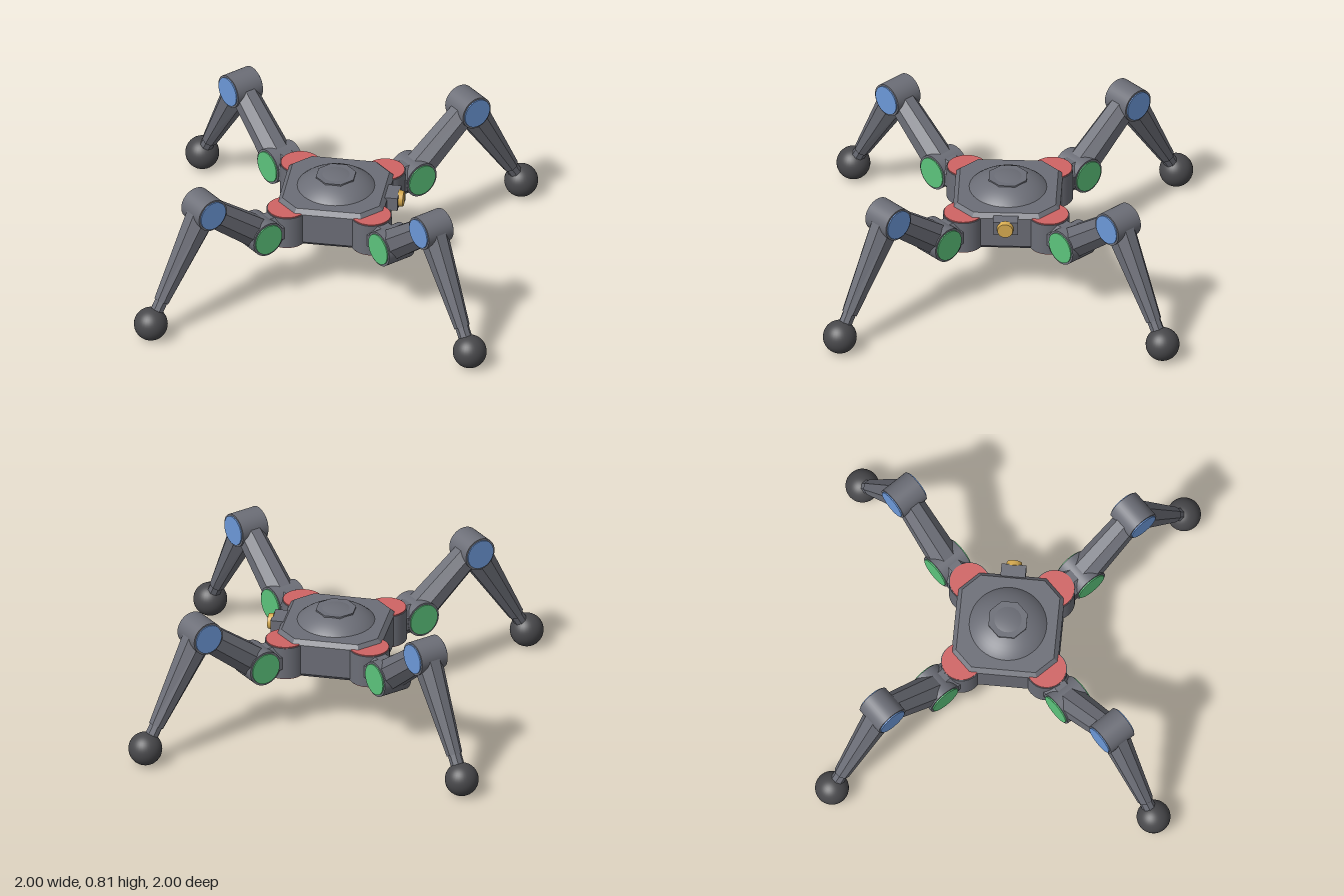
import * as THREE from 'three';

const mat = (name, color) => {
  const m = new THREE.MeshStandardMaterial({ color });
  m.name = name;
  return m;
};

export function createModel() {
  const grey = mat('shell grey', 0x6c6e77);
  const dark = mat('rubber dark grey', 0x48484b);
  const red = mat('shoulder red', 0xd06464);
  const green = mat('hip green', 0x5cc47c);
  const blue = mat('knee blue', 0x6c98d8);
  const gold = mat('lens gold', 0xd8ac50);

  const model = new THREE.Group();
  model.name = 'walker';

  const add = (parent, name, geo, material, x = 0, y = 0, z = 0) => {
    const m = new THREE.Mesh(geo, material);
    m.name = name;
    m.position.set(x, y, z);
    parent.add(m);
    return m;
  };
  const cyl = (r, h) => new THREE.CylinderGeometry(r, r, h, 40);

  // Tapered eight-sided bar from (x0,y0) to (x1,y1); half sizes run from start to end
  const bar = (parent, name, [x0, y0], [x1, y1], [hh0, hh1], [hw0, hw1]) => {
    const k = 1 / Math.cos(Math.PI / 8);
    const len = Math.hypot(x1 - x0, y1 - y0);
    const g = new THREE.CylinderGeometry(k, k, 1, 8).rotateY(Math.PI / 8).toNonIndexed();
    const p = g.attributes.position;
    for (let i = 0; i < p.count; i++) {
      const t = p.getY(i) + 0.5;
      p.setXYZ(i, p.getX(i) * (hh0 + (hh1 - hh0) * t), (t - 0.5) * len, p.getZ(i) * (hw0 + (hw1 - hw0) * t));
    }
    g.computeVertexNormals();
    const m = add(parent, name, g, grey, (x0 + x1) / 2, (y0 + y1) / 2);
    m.rotation.z = Math.atan2(y1 - y0, x1 - x0) - Math.PI / 2;
  };

  // Horizontal hinge drum with a coloured plate on each side
  const hinge = (parent, name, x, y, r, hw, plateR, colour) => {
    add(parent, name + 'Drum', cyl(r, hw * 2).rotateX(Math.PI / 2), grey, x, y);
    for (const s of [-1, 1])
      add(parent, name + 'Plate', cyl(plateR, 0.008).rotateX(Math.PI / 2), colour, x, y, s * (hw + 0.003));
  };

  // Chamfered octagonal chassis
  const a = 0.275, c = 0.18;
  const outline = new THREE.Shape(
    [[a, -c], [a, c], [c, a], [-c, a], [-a, c], [-a, -c], [-c, -a], [c, -a]].map(([x, y]) => new THREE.Vector2(x, y)));
  const chassis = new THREE.ExtrudeGeometry(outline, {
    depth: 0.18, bevelEnabled: true, bevelSize: 0.025, bevelThickness: 0.025, bevelSegments: 1 });
  chassis.translate(0, 0, -0.09).rotateX(-Math.PI / 2);
  add(model, 'chassis', chassis, grey, 0, 0.425);

  // Flattened core showing above and below the chassis, with its cap
  add(model, 'core', new THREE.SphereGeometry(1, 48, 32).scale(0.27, 0.195, 0.27), grey, 0, 0.425);
  add(model, 'coreCap', new THREE.CylinderGeometry(0.115, 0.115, 0.02, 8).rotateY(Math.PI / 8), grey, 0, 0.602);

  // Sensor on the left side
  add(model, 'sensorHousing', new THREE.BoxGeometry(0.08, 0.08, 0.14), grey, 0.32, 0.488);
  add(model, 'sensorLens', new THREE.CylinderGeometry(0.043, 0.048, 0.03, 32).rotateZ(-Math.PI / 2), gold, 0.37, 0.488);

  // Four identical legs, built along +x and turned onto the diagonals
  const R2 = Math.SQRT2;
  const shoulder = 0.24 * R2, hip = [0.375 * R2, 0.42], knee = [0.645 * R2, 0.72], foot = [0.905 * R2, 0.096];
  const along = (t) => [knee[0] + (foot[0] - knee[0]) * t, knee[1] + (foot[1] - knee[1]) * t];
  for (let i = 0; i < 4; i++) {
    const leg = new THREE.Group();
    leg.name = 'leg' + (i + 1);
    leg.rotation.y = Math.PI / 4 + i * Math.PI / 2;

    // Shoulder pivot with red plates
    add(leg, 'shoulderDrum', cyl(0.115, 0.19), grey, shoulder, 0.418);
    for (const s of [-1, 1])
      add(leg, 'shoulderPlate', cyl(0.11, 0.008), red, shoulder, 0.418 + s * 0.097);
    bar(leg, 'shoulderLink', [shoulder, 0.418], hip, [0.09, 0.09], [0.085, 0.085]);

    hinge(leg, 'hip', ...hip, 0.102, 0.088, 0.09, green);
    bar(leg, 'thigh', hip, knee, [0.088, 0.075], [0.083, 0.07]);
    hinge(leg, 'knee', ...knee, 0.096, 0.085, 0.085, blue);

    // Shin, ankle and ball foot
    bar(leg, 'shin', knee, along(0.8), [0.09, 0.042], [0.078, 0.042]);
    bar(leg, 'ankle', along(0.78), along(0.95), [0.036, 0.036], [0.036, 0.036]);
    add(leg, 'foot', new THREE.SphereGeometry(0.095, 32, 24), dark, ...foot);
    model.add(leg);
  }
  return model;
}
